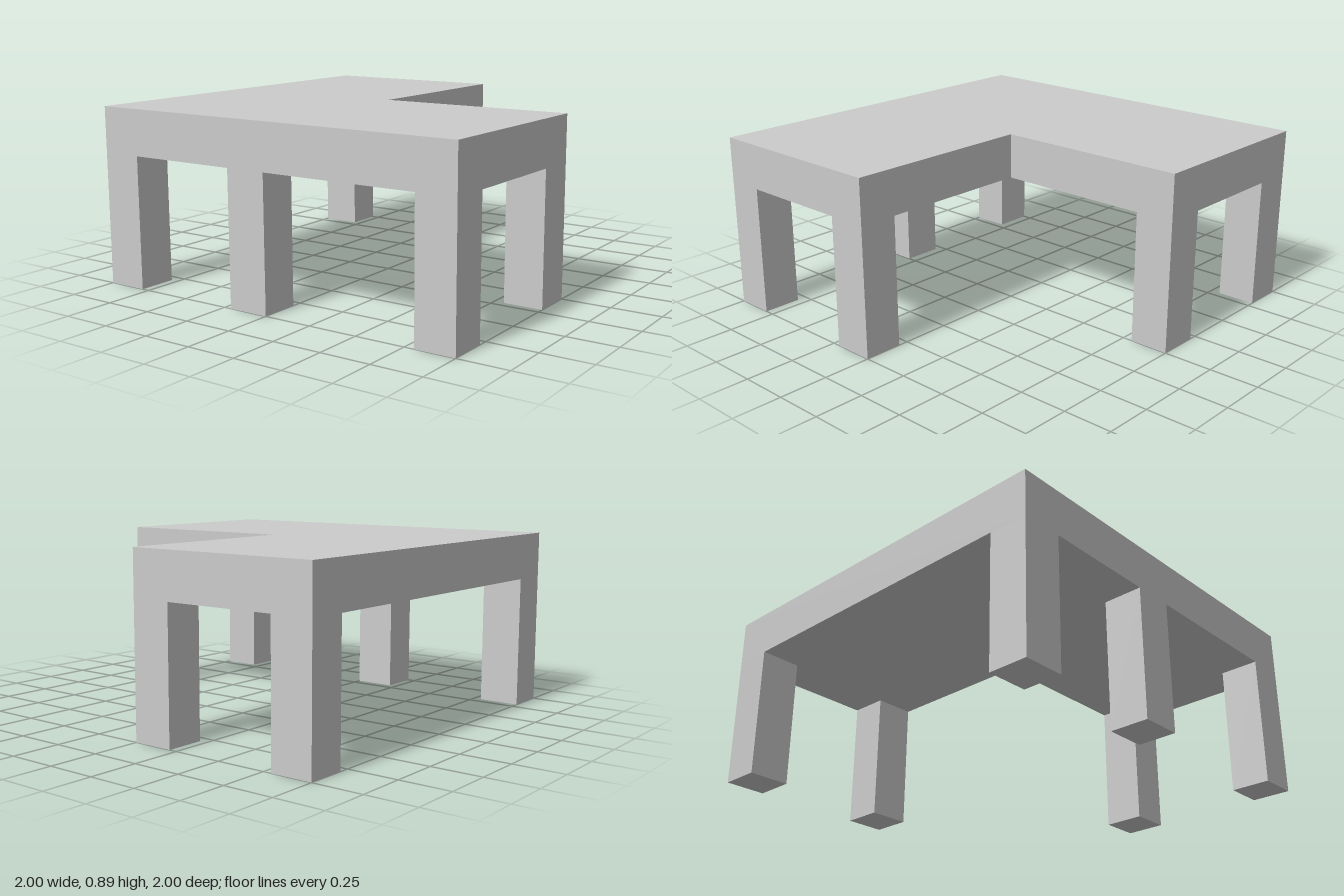
import * as THREE from 'three';

const TOP = 0.895, UNDER = 0.665;

export function createModel() {
  const model = new THREE.Group();
  model.name = 'cornerTable';
  const material = new THREE.MeshStandardMaterial({ color: 0xcccccc, flatShading: true });

  const add = (name, geometry) => {
    const mesh = new THREE.Mesh(geometry, material);
    mesh.name = name;
    model.add(mesh);
  };

  // L-shaped slab, drawn as (x, -z) and extruded upwards
  const outline = [[-1, -1], [1, -1], [1, 0], [0, 0], [0, 1], [-1, 1]];
  const slab = new THREE.ExtrudeGeometry(
    new THREE.Shape(outline.map(([x, y]) => new THREE.Vector2(x, y))),
    { depth: TOP - UNDER, bevelEnabled: false });
  slab.rotateX(-Math.PI / 2).translate(0, UNDER, 0);
  add('tableTop', slab);

  // Square legs flush with the slab edges: [name, x0, x1, z0, z1]
  const legs = [
    ['frontRightLeg', -1, -0.79, 0.8, 1],
    ['frontMiddleLeg', -0.21, 0, 0.8, 1],
    ['frontLeftLeg', 0.8, 1, 0.8, 1],
    ['middleLeftLeg', 0.8, 1, 0, 0.21],
    ['backRightLeg', -1, -0.79, -1, -0.8],
    ['backMiddleLeg', -0.21, 0, -1, -0.8],
  ];
  for (const [name, x0, x1, z0, z1] of legs) {
    const leg = new THREE.BoxGeometry(x1 - x0, UNDER, z1 - z0);
    leg.translate((x0 + x1) / 2, UNDER / 2, (z0 + z1) / 2);
    add(name, leg);
  }

  return model;
}
